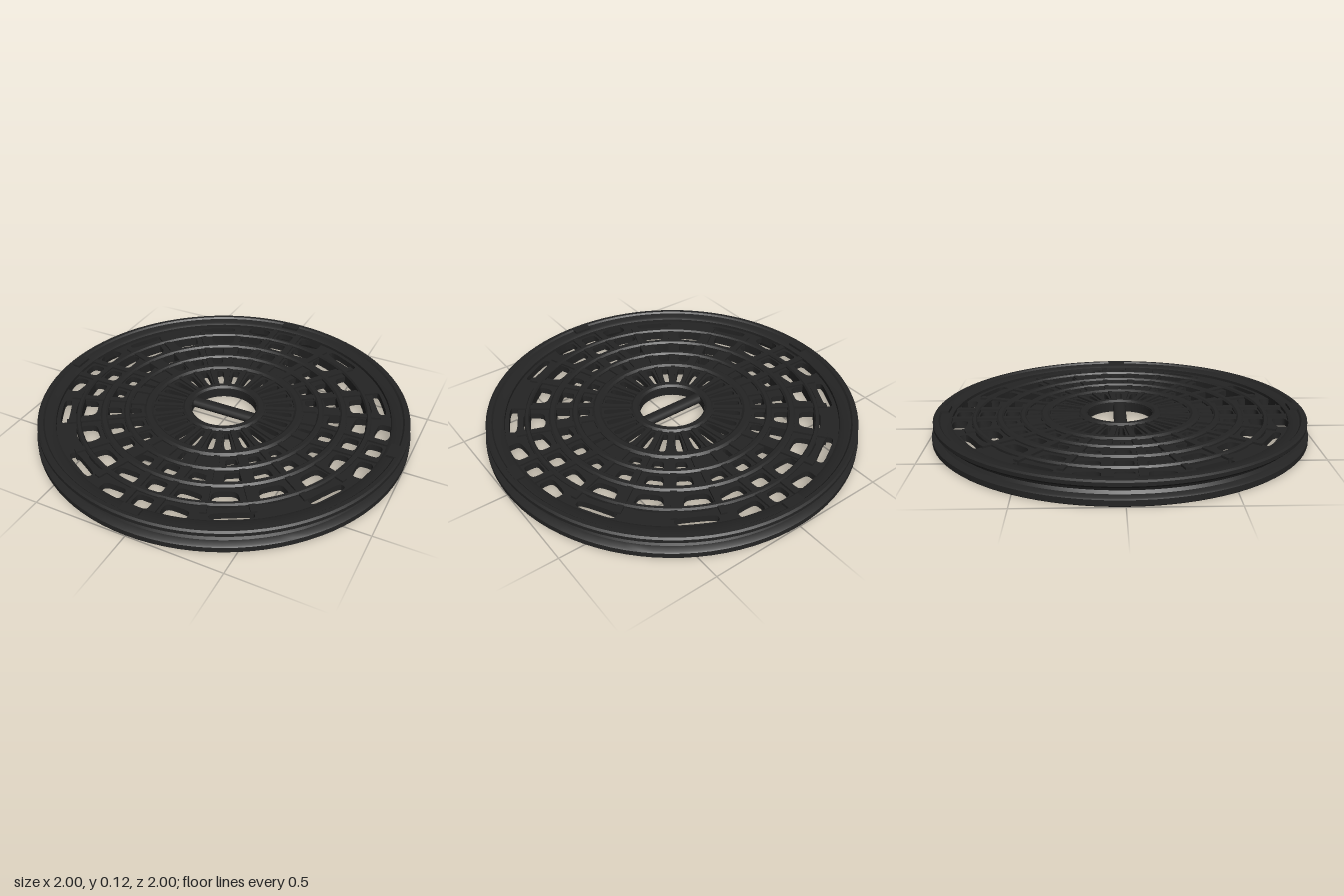
import * as THREE from 'three';
import { toCreasedNormals } from 'three/addons/utils/BufferGeometryUtils.js';

const RAD = Math.PI / 180;

export function createModel() {
  const group = new THREE.Group();
  const iron = new THREE.MeshStandardMaterial({ color: 0x242424 });
  iron.name = 'cast iron';

  const add = (name, geometry, parent = group) => {
    const mesh = new THREE.Mesh(geometry, iron);
    mesh.name = name;
    parent.add(mesh);
    return mesh;
  };
  const lathe = (name, pts) => {
    const profile = pts.map(([r, y]) => new THREE.Vector2(r, y));
    profile.push(profile[0].clone());
    return add(name, toCreasedNormals(new THREE.LatheGeometry(profile, 96), 0.6));
  };

  // Grate plate, pierced by rounded openings
  const plate = new THREE.Shape();
  plate.absarc(0, 0, 0.94, 0, Math.PI * 2, false);
  // Opening at radius r and sideways offset s, in a frame turned by deg
  const pierce = (deg, r, s, length, width, taper = 0) => {
    const pts = [];
    const c = Math.cos(deg * RAD), n = Math.sin(deg * RAD);
    for (let i = 0; i < 20; i++) {
      const a = -i / 20 * Math.PI * 2;
      const soft = v => Math.sign(v) * Math.pow(Math.abs(v), 0.5);
      const u = soft(Math.cos(a));
      const p = r + u * length / 2;
      const q = s + soft(Math.sin(a)) * width / 2 * (1 + taper * u);
      pts.push(new THREE.Vector2(p * c - q * n, p * n + q * c));
    }
    plate.holes.push(new THREE.Path(pts));
  };
  for (let k = 0; k < 4; k++) {
    const axis = k * 90;
    // Square grid on each axis
    for (const s of [-0.17, 0, 0.17]) {
      const w = s ? 0.13 : 0.095;
      pierce(axis, 0.58, s * 0.95, 0.075, w * 0.85);
      pierce(axis, 0.715, s, 0.08, w);
      pierce(axis, 0.84, s, 0.08, w);
    }
    pierce(axis, 0.475, 0, 0.08, 0.025);
    // Fan of openings between the axes
    for (const d of [27, 45, 63]) {
      pierce(axis + d, 0.74, 0, 0.115, 0.14, 0.12);
    }
    for (const d of [31, 45, 59]) {
      pierce(axis + d, 0.59, 0, 0.08, 0.09, 0.1);
      pierce(axis + d, 0.475, 0, 0.06, 0.06, 0.15);
    }
    // Long narrow slots beside the rim
    for (const d of [29, 61]) pierce(axis + d, 0.85, 0, 0.045, 0.21);
  }
  // Tapered slots around the hub
  for (let i = 0; i < 24; i++) pierce(i * 15, 0.3, 0, 0.14, 0.034, 0.25);
  // Central opening
  const hub = new THREE.Path();
  hub.absarc(0, 0, 0.175, 0, Math.PI * 2, true);
  plate.holes.push(hub);
  const plateGeometry = new THREE.ExtrudeGeometry(plate, { depth: 0.035, bevelEnabled: false, curveSegments: 48 });
  plateGeometry.rotateX(-Math.PI / 2).translate(0, 0.045, 0);
  add('gratePlate', toCreasedNormals(plateGeometry, 0.6));

  // Outer rim with a groove round its edge
  lathe('rim', [
    [0.93, 0], [0.995, 0], [1, 0.005], [1, 0.032], [0.992, 0.038], [0.965, 0.044], [0.955, 0.058],
    [0.962, 0.074], [0.98, 0.08], [0.99, 0.09], [0.99, 0.108], [0.98, 0.115], [0.96, 0.115],
    [0.952, 0.106], [0.91, 0.104], [0.895, 0.095], [0.893, 0.045], [0.92, 0.035],
  ]);

  // Raised concentric rings, above and below the plate
  const rings = [[0.2, 0.024], [0.405, 0.026], [0.522, 0.018], [0.644, 0.02], [0.778, 0.014]];
  for (const [r, h] of rings) {
    lathe('concentricRing', [
      [r - h, 0.034], [r + h, 0.034], [r + h, 0.088], [r + h * 0.5, 0.098],
      [r - h * 0.5, 0.098], [r - h, 0.088],
    ]);
  }

  // Ribs along the spokes
  const rib = (deg, r0, r1, s, width) => {
    const pivot = new THREE.Group();
    pivot.name = 'rib';
    pivot.rotation.y = deg * RAD;
    group.add(pivot);
    const g = new THREE.BoxGeometry(r1 - r0, 0.055, width);
    add('ribBar', g, pivot).position.set((r0 + r1) / 2, 0.0635, s);
  };
  for (let k = 0; k < 4; k++) {
    for (const s of [-0.077, 0.077]) rib(k * 90, 0.53, 0.9, s, 0.032);
    for (const d of [20, 36, 54, 70]) rib(k * 90 + d, 0.5, 0.84, 0, 0.032);
    for (const d of [8, 22, 37, 53, 68, 82]) rib(k * 90 + d, 0.42, 0.53, 0, 0.03);
  }
  for (let i = 0; i < 24; i++) rib(i * 15 + 7.5, 0.2, 0.4, 0, 0.022);

  // Handle bar across the central opening
  add('handleBar', new THREE.CapsuleGeometry(0.035, 0.34, 6, 16).rotateZ(Math.PI / 2).scale(1, 0.7, 1))
    .position.y = 0.065;

  // Small lugs on the rim at each axis
  for (let k = 0; k < 4; k++) {
    const pivot = new THREE.Group();
    pivot.name = 'rimLug';
    pivot.rotation.y = k * Math.PI / 2;
    group.add(pivot);
    add('lugBlock', new THREE.BoxGeometry(0.05, 0.03, 0.1), pivot).position.set(0.94, 0.103, 0);
  }
  return group;
}
